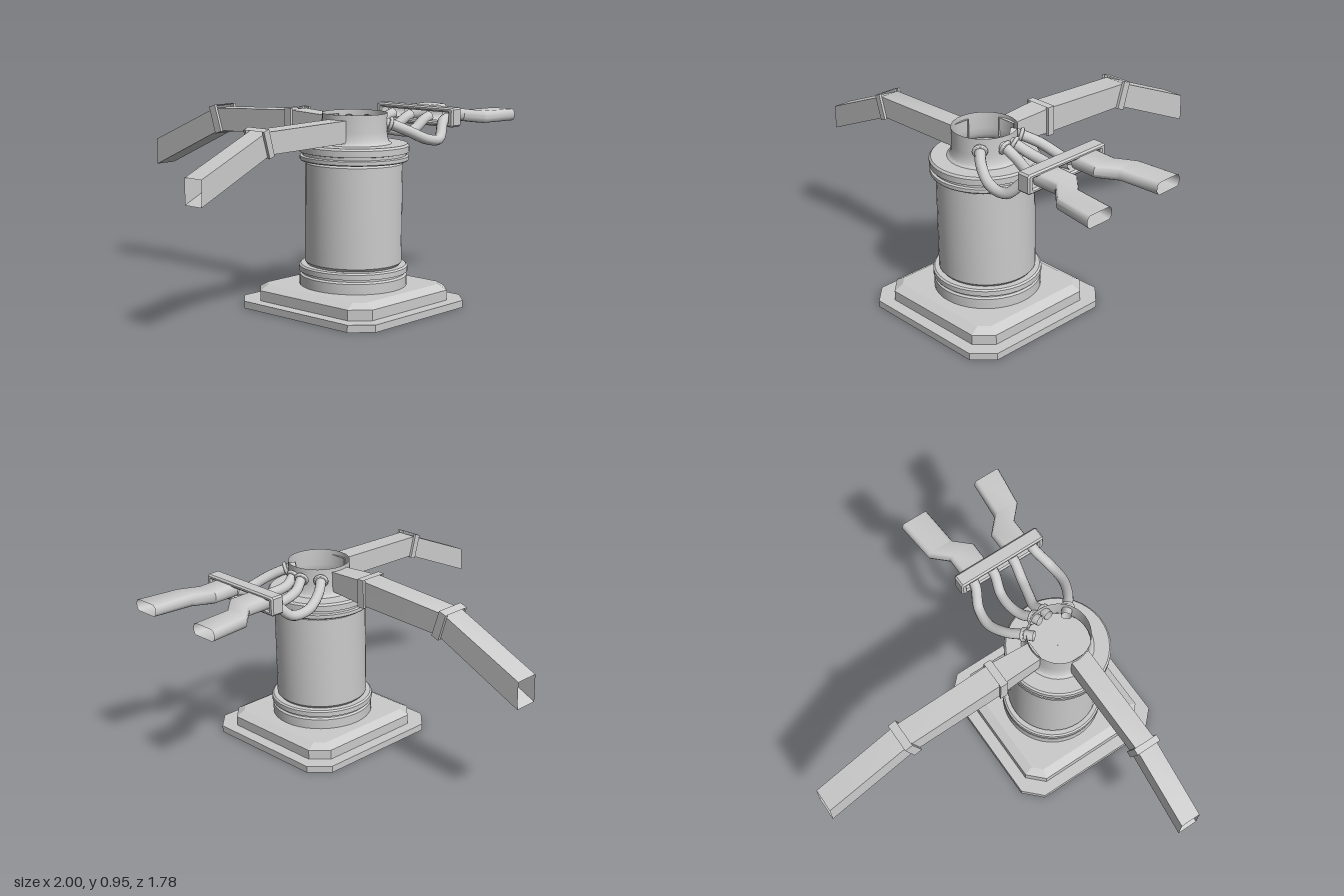
import * as THREE from 'three';
import { toCreasedNormals } from 'three/addons/utils/BufferGeometryUtils.js';

const CX = 0.07, CZ = 0.47; // column axis
const mat = new THREE.MeshStandardMaterial({ color: 0xcccccc, side: THREE.DoubleSide });
const V = (x, y, z) => new THREE.Vector3(x, y, z);

function mesh(name, geo, crease = 0.5) {
  const m = new THREE.Mesh(toCreasedNormals(geo, crease), mat);
  m.name = name;
  return m;
}

// Skin between closed cross-sections with equal point counts
function loft(sections) {
  const n = sections[0].length, idx = [];
  for (let i = 0; i < sections.length - 1; i++) {
    for (let j = 0; j < n; j++) {
      const k = (j + 1) % n;
      const a = i * n + j, b = i * n + k, c = a + n, d = b + n;
      idx.push(a, b, c, b, d, c);
    }
  }
  const g = new THREE.BufferGeometry().setFromPoints(sections.flat());
  g.setIndex(idx);
  return g;
}

// Square with cut corners, lying flat at height y
function octagon(h, c, y) {
  const s = h - c;
  return [[h, -s], [h, s], [s, h], [-s, h], [-h, s], [-h, -s], [-s, -h], [s, -h]]
    .map(([x, z]) => V(x, y, -z));
}

// Rectangular section of an arm running along +x; top and bottom may be offset
const rect = (xTop, yTop, xBot, yBot, w) =>
  [V(xTop, yTop, -w), V(xTop, yTop, w), V(xBot, yBot, w), V(xBot, yBot, -w)];

// Collar: a closed rectangular band around an arm
function band(name, a, b, grow) {
  const inner = (s) => s.map((p) => V(p.x, p.y, p.z * (1 - grow)));
  return mesh(name, loft([inner(a), a, b, inner(b)]));
}

// Flat duct section with rounded edges, in the yz plane
function ductSection(x, y0, y1, z0, z1) {
  const pts = [], r = (y1 - y0) / 2, yc = (y0 + y1) / 2;
  for (let i = 0; i < 12; i++) {
    const side = i < 6 ? 1 : -1;
    const a = ((i % 6) / 5) * Math.PI;
    const zc = side > 0 ? z1 - r * 0.6 : z0 + r * 0.6;
    pts.push(V(x, yc + side * r * Math.cos(a), zc + side * 0.6 * r * Math.sin(a)));
  }
  return pts;
}

export function createModel() {
  const model = new THREE.Group();

  // Stepped base, open underneath
  const base = mesh('base', loft([
    octagon(0.42, 0.09, 0), octagon(0.42, 0.09, 0.035), octagon(0.36, 0.08, 0.035),
    octagon(0.36, 0.08, 0.085), octagon(0.315, 0.045, 0.11), octagon(0.002, 0.0005, 0.11),
  ]), 0.2);
  base.position.set(CX, 0, CZ);
  model.add(base);

  // Column with ring mouldings at both ends
  const profile = [
    [0.26, 0.11], [0.26, 0.16], [0.25, 0.168], [0.25, 0.178], [0.264, 0.18], [0.264, 0.205],
    [0.255, 0.212], [0.225, 0.212], [0.235, 0.225], [0.235, 0.705], [0.225, 0.718],
    [0.258, 0.718], [0.262, 0.723], [0.262, 0.74], [0.25, 0.744], [0.25, 0.757],
    [0.264, 0.76], [0.264, 0.79], [0.255, 0.8], [0.001, 0.8],
  ];
  const column = mesh('column', new THREE.LatheGeometry(
    profile.map(([r, y]) => new THREE.Vector2(r, y)), 40));
  column.position.set(CX, 0, CZ);
  model.add(column);

  // Open-topped neck
  const neckProfile = [[0.18, 0.8], [0.168, 0.81], [0.16, 0.83], [0.157, 0.86], [0.157, 0.945]];
  const neck = mesh('neck', new THREE.LatheGeometry(
    neckProfile.map(([r, y]) => new THREE.Vector2(r, y)), 32));
  neck.position.set(CX, 0, CZ);
  model.add(neck);

  // Side arm: bent open box duct with a collar at the elbow
  const sideArm = new THREE.Group();
  sideArm.name = 'sideArm';
  sideArm.add(
    mesh('sideArmDuct', loft([
      rect(0.075, 0.92, 0.075, 0.813, 0.052), rect(0.605, 0.91, 0.58, 0.807, 0.052),
      rect(1, 0.74, 1, 0.62, 0.052),
    ])),
    band('sideArmCollar', rect(0.603, 0.925, 0.567, 0.802, 0.065),
      rect(0.635, 0.914, 0.597, 0.791, 0.065), 0.2),
  );
  sideArm.rotation.y = Math.PI;
  sideArm.position.z = 0.49;
  model.add(sideArm);

  // Back arm: longer duct with a collar near the neck and one at the elbow
  const backArm = new THREE.Group();
  backArm.name = 'backArm';
  backArm.add(
    mesh('backArmDuct', loft([
      rect(-0.33, 0.925, -0.33, 0.823, 0.051), rect(-0.1, 0.937, -0.1, 0.81, 0.061),
      rect(0.435, 0.91, 0.405, 0.795, 0.061), rect(0.895, 0.71, 0.895, 0.572, 0.061),
    ])),
    band('backArmInnerCollar', rect(-0.12, 0.947, -0.12, 0.8, 0.073),
      rect(-0.08, 0.947, -0.08, 0.8, 0.073), 0.2),
    band('backArmElbowCollar', rect(0.422, 0.928, 0.375, 0.792, 0.075),
      rect(0.463, 0.915, 0.418, 0.778, 0.075), 0.2),
  );
  backArm.rotation.y = Math.PI / 2;
  backArm.position.x = 0.067;
  model.add(backArm);

  // Four sagging pipes from the neck to the manifold, each with a flange
  const pipes = [
    { dip: 0.8, xz: [[0.14, 0.375], [0.18, 0.34], [0.25, 0.285], [0.35, 0.25], [0.45, 0.26], [0.53, 0.295], [0.575, 0.3]] },
    { dip: 0.825, xz: [[0.19, 0.445], [0.23, 0.43], [0.29, 0.4], [0.37, 0.385], [0.45, 0.39], [0.53, 0.41], [0.575, 0.41]] },
    { dip: 0.825, xz: [[0.19, 0.495], [0.23, 0.49], [0.29, 0.48], [0.37, 0.5], [0.45, 0.52], [0.53, 0.53], [0.575, 0.53]] },
    { dip: 0.8, xz: [[0.14, 0.565], [0.18, 0.6], [0.25, 0.655], [0.35, 0.695], [0.45, 0.69], [0.53, 0.65], [0.575, 0.645]] },
  ];
  pipes.forEach(({ dip, xz }, i) => {
    const ys = [0.9, 0.89, 0.855, dip + 0.01, dip + 0.005, 0.88, 0.895];
    const curve = new THREE.CatmullRomCurve3(xz.map(([x, z], k) => V(x, ys[k], z)));
    model.add(mesh('pipe' + (i + 1), new THREE.TubeGeometry(curve, 32, 0.026, 12), 1));
    const flange = mesh('pipeFlange' + (i + 1), new THREE.TorusGeometry(0.028, 0.01, 8, 16), 1);
    flange.position.copy(curve.getPoint(1 / 6));
    flange.lookAt(curve.getPoint(1 / 6 + 0.02));
    model.add(flange);
  });

  // Manifold: open frame joining pipes to outlets
  const frame = (w, h, c) => [[w, h - c], [w - c, h], [c - w, h], [-w, h - c],
    [-w, c - h], [c - w, -h], [w - c, -h], [w, c - h]].map(([x, y]) => new THREE.Vector2(x, y));
  const shape = new THREE.Shape(frame(0.235, 0.04, 0.004));
  shape.holes.push(new THREE.Path(frame(0.22, 0.032, 0.004)));
  const manifold = mesh('manifold', new THREE.ExtrudeGeometry(shape, {
    depth: 0.058, bevelEnabled: true, bevelSize: 0.008, bevelThickness: 0.008, bevelSegments: 1,
  }), 0.3);
  manifold.rotation.y = Math.PI / 2;
  manifold.position.set(0.541, 0.9, 0.463);
  model.add(manifold);

  // Two flat outlets that jog apart
  const outlets = [
    { name: 'backOutlet', z: [[0.265, 0.41], [0.265, 0.41], [0.19, 0.335], [0.17, 0.32]] },
    { name: 'frontOutlet', z: [[0.51, 0.65], [0.51, 0.65], [0.585, 0.725], [0.605, 0.755]] },
  ];
  const stations = [[0.575, 0.868, 0.935], [0.71, 0.868, 0.93], [0.79, 0.856, 0.917], [1, 0.856, 0.915]];
  for (const { name, z } of outlets) {
    model.add(mesh(name, loft(stations.map(([x, y0, y1], i) =>
      ductSection(x, y0, y1, z[i][0], z[i][1]))), 0.7));
  }
  return model;
}
